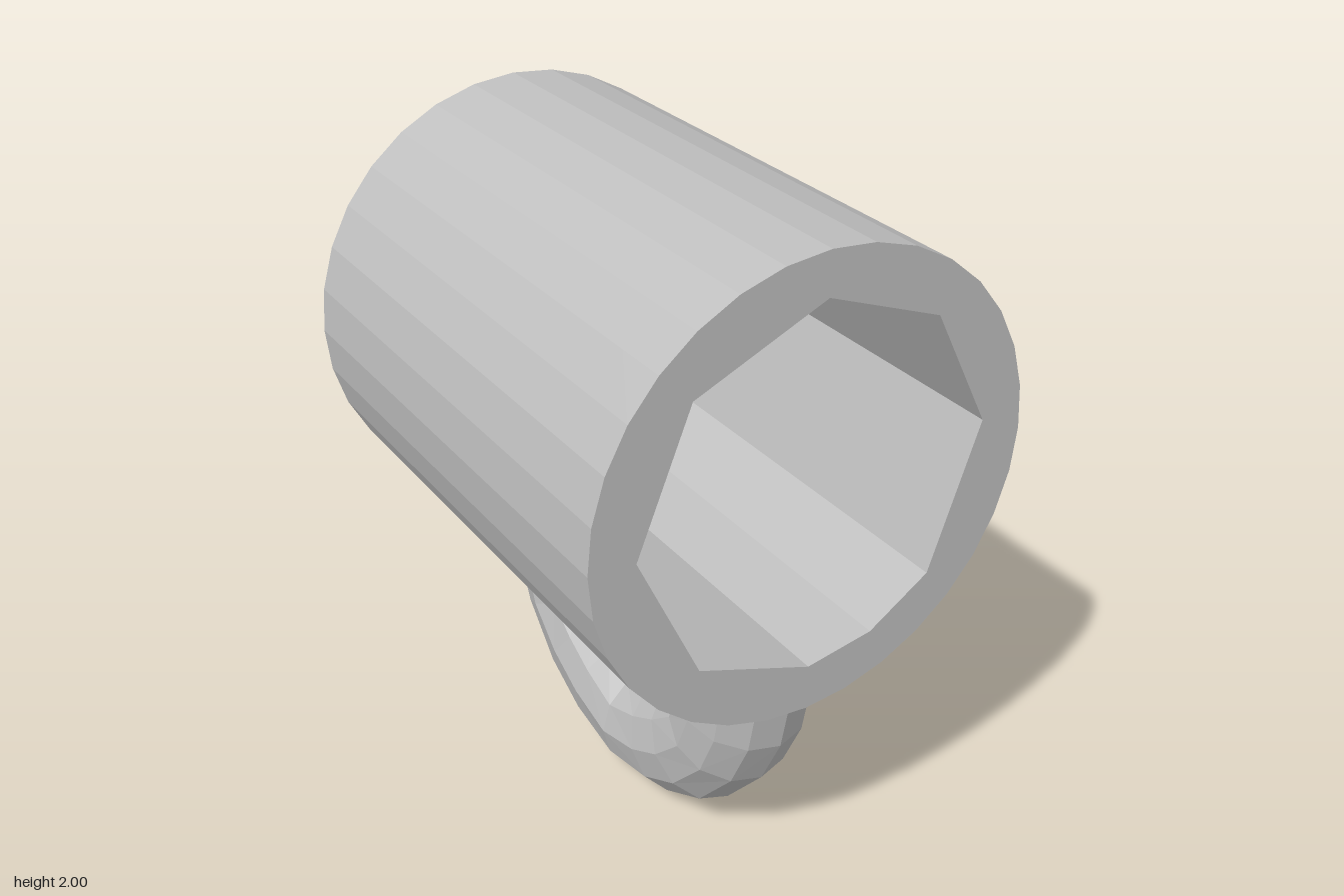
import * as THREE from 'three';

// Skin joining a list of closed rings with equal point counts
function loft(rings) {
  const pos = [], index = [], n = rings[0].length;
  rings.forEach(r => r.forEach(p => pos.push(...p)));
  for (let i = 0; i < rings.length - 1; i++) {
    for (let j = 0; j < n; j++) {
      const k = (j + 1) % n;
      const a = i * n + j, b = i * n + k, c = b + n, d = a + n;
      index.push(a, b, c, a, c, d);
    }
  }
  const g = new THREE.BufferGeometry();
  g.setAttribute('position', new THREE.Float32BufferAttribute(pos, 3));
  g.setIndex(index);
  g.computeVertexNormals();
  return g;
}

export function createModel() {
  const group = new THREE.Group();
  const grey = new THREE.MeshStandardMaterial({ color: 0xbfbfbf, flatShading: true });
  grey.name = 'grey';

  function add(name, geometry) {
    const mesh = new THREE.Mesh(geometry, grey);
    mesh.name = name;
    group.add(mesh);
    return mesh;
  }

  const R = 0.65, CY = 1.35, SIDES = 32;
  const FRONT = 0.75, BACK = -0.75, FLOOR = -0.6;

  // Round outline of the cup, lying on its side
  const outline = [];
  for (let i = 0; i < SIDES; i++) {
    const a = (i / SIDES) * Math.PI * 2;
    outline.push(new THREE.Vector2(R * Math.cos(a), CY + R * Math.sin(a)));
  }
  // Uneven, faceted opening
  const mouth = [
    [0.52, 1.41], [0.34, 1.75], [0, 1.88], [-0.37, 1.72], [-0.52, 1.34],
    [-0.34, 0.96], [0, 0.835], [0.2, 0.87], [0.38, 0.99],
  ].map(p => new THREE.Vector2(...p));
  const ring = (pts, z, minY = 0) => pts.map(p => [p.x, Math.max(p.y, minY), z]);

  // Outer wall, flattened underneath between the two ends
  add('cupWall', loft([
    ring(outline, BACK), ring(outline, FLOOR, 0.735),
    ring(outline, 0.6, 0.735), ring(outline, FRONT),
  ]));

  // Rim with the opening cut out
  const rim = new THREE.Shape(outline);
  rim.holes.push(new THREE.Path(mouth));
  add('rim', new THREE.ShapeGeometry(rim)).position.z = FRONT;

  // Closed base
  const base = add('cupBase', new THREE.ShapeGeometry(
    new THREE.Shape(outline.map(p => new THREE.Vector2(-p.x, p.y)))));
  base.rotation.y = Math.PI;
  base.position.z = BACK;

  // Hollow inside
  add('cavityWall', loft([ring(mouth, FRONT), ring(mouth, FLOOR)]));
  add('cavityFloor', new THREE.ShapeGeometry(new THREE.Shape(mouth))).position.z = FLOOR;

  // Handle: outer z, outer y, inner z, inner y from the front leg to the middle
  const half = [
    [0.69, 0.78, 0.29, 0.78],
    [0.685, 0.68, 0.285, 0.68],
    [0.65, 0.5, 0.27, 0.57],
    [0.57, 0.33, 0.25, 0.49],
    [0.41, 0.14, 0.18, 0.455],
    [0.23, 0.04, 0.1, 0.41],
    [0, 0, 0, 0.36],
  ];
  const mirrored = half.slice(0, -1).reverse().map(([a, b, c, d]) => [-a, b, -c, d]);
  const sections = [...half, ...mirrored].map(([oz, oy, iz, iy]) => {
    const loop = [];
    for (let i = 0; i < 12; i++) {
      const a = (i / 12) * Math.PI * 2, t = (1 + Math.cos(a)) / 2;
      loop.push([-0.18 * Math.sin(a), iy + (oy - iy) * t, iz + (oz - iz) * t]);
    }
    return loop;
  });
  add('handle', loft(sections));

  return group;
}
